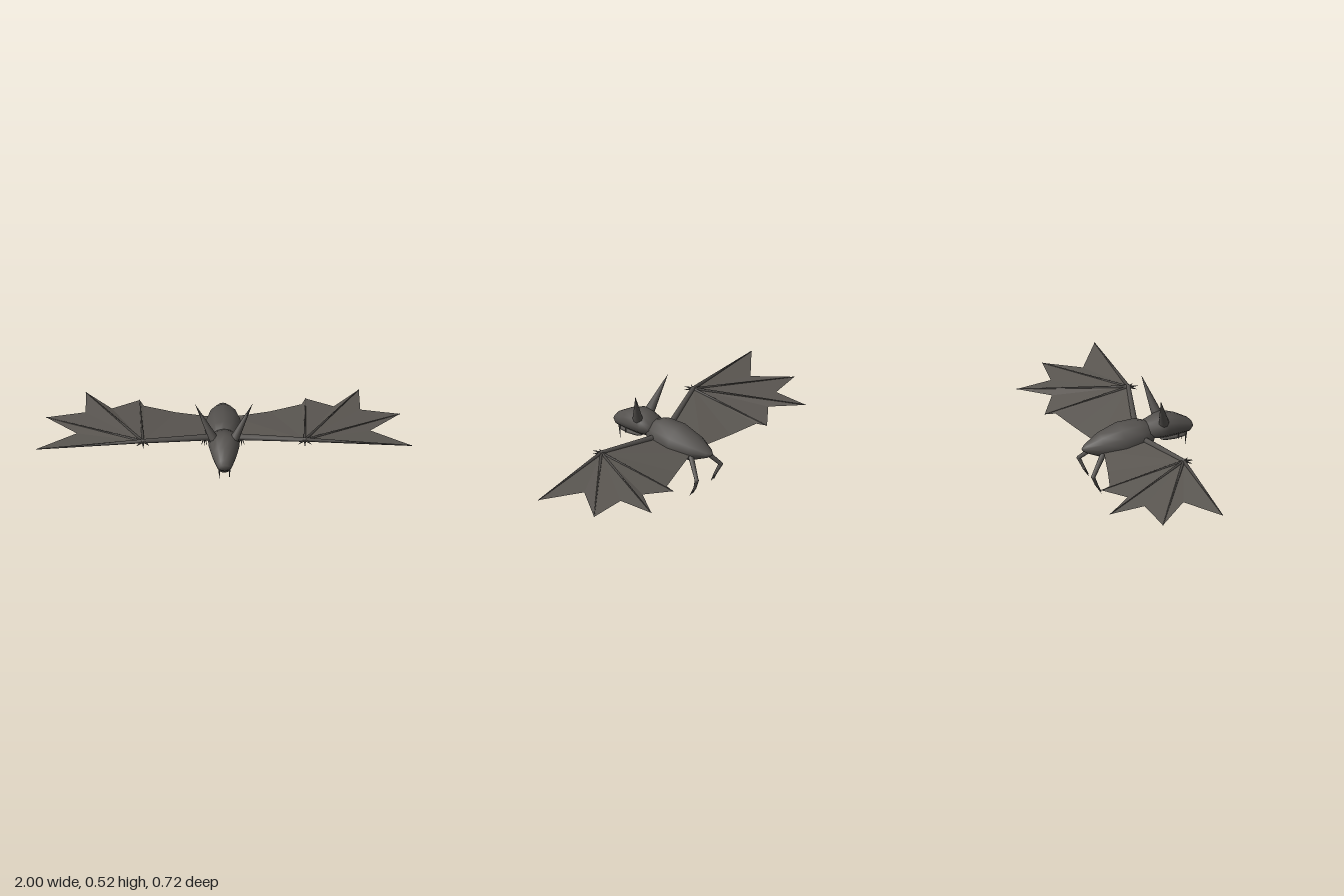
import * as THREE from 'three';

const fur = new THREE.MeshStandardMaterial({ color: 0x54514e });
fur.name = 'fur';
const skin = new THREE.MeshStandardMaterial({ color: 0x5b5752, side: THREE.DoubleSide });
skin.name = 'wing skin';
const bone = new THREE.MeshStandardMaterial({ color: 0x4a4744 });
bone.name = 'bone and claw';

const V = (p) => new THREE.Vector3(...p);

function add(parent, name, geometry, material) {
  const mesh = new THREE.Mesh(geometry, material);
  mesh.name = name;
  parent.add(mesh);
  return mesh;
}

// Closed skin over elliptical rings [z, y, rx, ry], listed front to back.
// lean shifts the top of each ring backwards or forwards.
function loft(rings, lean = 0, n = 12) {
  const pos = [], idx = [];
  for (const [z, y, rx, ry] of rings) {
    for (let j = 0; j < n; j++) {
      const a = (j / n) * Math.PI * 2;
      pos.push(Math.cos(a) * rx, y + Math.sin(a) * ry, z + Math.sin(a) * ry * lean);
    }
  }
  for (let i = 0; i < rings.length - 1; i++) {
    for (let j = 0; j < n; j++) {
      const k = (j + 1) % n, a = i * n, b = a + n;
      idx.push(a + j, b + j, a + k, a + k, b + j, b + k);
    }
  }
  const last = rings.length - 1, c = rings.length * n;
  pos.push(0, rings[0][1], rings[0][0], 0, rings[last][1], rings[last][0]);
  for (let j = 0; j < n; j++) {
    const k = (j + 1) % n;
    idx.push(c, j, k, c + 1, last * n + k, last * n + j);
  }
  const g = new THREE.BufferGeometry();
  g.setAttribute('position', new THREE.Float32BufferAttribute(pos, 3));
  g.setIndex(idx);
  g.computeVertexNormals();
  return g;
}

// Tapered rod from point a to point b
function rod(parent, name, a, b, ra, rb, material, n = 8) {
  const p = V(a), d = V(b).sub(p);
  const mesh = add(parent, name, new THREE.CylinderGeometry(rb, ra, d.length(), n), material);
  mesh.position.copy(p).addScaledVector(d, 0.5);
  mesh.quaternion.setFromUnitVectors(new THREE.Vector3(0, 1, 0), d.normalize());
  return mesh;
}

function ball(parent, name, p, r, material) {
  add(parent, name, new THREE.SphereGeometry(r, 8, 6), material).position.set(...p);
}

function wing(s) {
  const g = new THREE.Group();
  g.name = s > 0 ? 'leftWing' : 'rightWing';
  const at = (x, y, z) => [s * x, y, z];
  const wrist = at(0.43, 0.297, 0.165);
  const shoulder = at(0.05, 0.25, 0.07);
  const tips = [at(1, 0.262, 0.18), at(0.94, 0.232, -0.138), at(0.725, 0.228, -0.36), at(0.44, 0.214, -0.305)];

  // Scalloped skin fanned out from the wrist
  const edge = [
    tips[0], at(0.78, 0.255, 0.035), tips[1], at(0.73, 0.243, -0.165), tips[2],
    at(0.59, 0.232, -0.21), tips[3], at(0.42, 0.218, -0.25), at(0.25, 0.21, -0.2),
    at(0.05, 0.215, -0.15), shoulder,
  ];
  const pos = [];
  for (let i = 0; i < edge.length - 1; i++) {
    const pair = s > 0 ? [edge[i], edge[i + 1]] : [edge[i + 1], edge[i]];
    pos.push(...wrist, ...pair[0], ...pair[1]);
  }
  const m = new THREE.BufferGeometry();
  m.setAttribute('position', new THREE.Float32BufferAttribute(pos, 3));
  m.computeVertexNormals();
  add(g, 'wingSkin', m, skin);

  // Arm, finger bones and thumb claws
  rod(g, 'arm', shoulder, wrist, 0.018, 0.012, fur);
  ball(g, 'wrist', wrist, 0.013, fur);
  tips.forEach((t, i) => rod(g, 'finger', wrist, t, i ? 0.008 : 0.011, 0.002, bone, 6));
  for (const dx of [-0.035, 0, 0.035]) {
    const end = at(0.43 + dx, 0.293, 0.222 - Math.abs(dx) * 0.6);
    rod(g, 'thumbClaw', wrist, end, 0.008, 0.0005, bone, 5);
  }
  return g;
}

function leg(s) {
  const g = new THREE.Group();
  g.name = s > 0 ? 'leftLeg' : 'rightLeg';
  const hip = [s * 0.05, 0.205, -0.15], knee = [s * 0.113, 0.108, -0.232];
  const ankle = [s * 0.095, 0.05, -0.208];
  rod(g, 'thigh', hip, knee, 0.016, 0.011, fur);
  ball(g, 'knee', knee, 0.0115, fur);
  rod(g, 'shin', knee, ankle, 0.011, 0.008, fur);
  ball(g, 'ankle', ankle, 0.009, fur);
  for (const dx of [-0.014, 0, 0.014]) {
    rod(g, 'toe', ankle, [s * 0.1 + dx, 0.001, -0.179 - Math.abs(dx) * 0.5], 0.008, 0.0005, bone, 5);
  }
  return g;
}

export function createModel() {
  const bat = new THREE.Group();
  bat.name = 'bat';

  // Body, tilted slightly nose up
  add(bat, 'body', loft([
    [0.15, 0.259, 0.03, 0.03], [0.127, 0.258, 0.066, 0.062], [0.066, 0.25, 0.092, 0.091],
    [-0.035, 0.239, 0.102, 0.095], [-0.147, 0.228, 0.075, 0.068],
    [-0.232, 0.221, 0.03, 0.024], [-0.254, 0.22, 0.006, 0.006],
  ], -0.11), fur);

  // Head with a blunt snout, and the open lower jaw
  add(bat, 'head', loft([
    [0.363, 0.265, 0.028, 0.016], [0.345, 0.264, 0.042, 0.037], [0.28, 0.281, 0.066, 0.057],
    [0.21, 0.292, 0.082, 0.07], [0.164, 0.287, 0.082, 0.064], [0.108, 0.28, 0.064, 0.05],
  ]), fur);
  add(bat, 'lowerJaw', loft([
    [0.33, 0.216, 0.022, 0.007], [0.315, 0.216, 0.032, 0.014], [0.26, 0.217, 0.045, 0.016],
    [0.2, 0.221, 0.05, 0.014], [0.18, 0.224, 0.045, 0.008],
  ]), fur);

  for (const s of [1, -1]) {
    // Tall pointed ear
    const ear = rod(bat, s > 0 ? 'leftEar' : 'rightEar',
      [s * 0.052, 0.32, 0.19], [s * 0.152, 0.517, 0.137], 0.03, 0.0005, fur, 10);
    ear.scale.x = 0.85;
    // Upper fang and lower tooth
    rod(bat, 'fang', [s * 0.027, 0.24, 0.325], [s * 0.027, 0.16, 0.32], 0.007, 0.0005, bone, 6);
    rod(bat, 'lowerTooth', [s * 0.038, 0.21, 0.277], [s * 0.04, 0.243, 0.277], 0.005, 0.0005, bone, 6);
    bat.add(wing(s), leg(s));
  }
  return bat;
}
